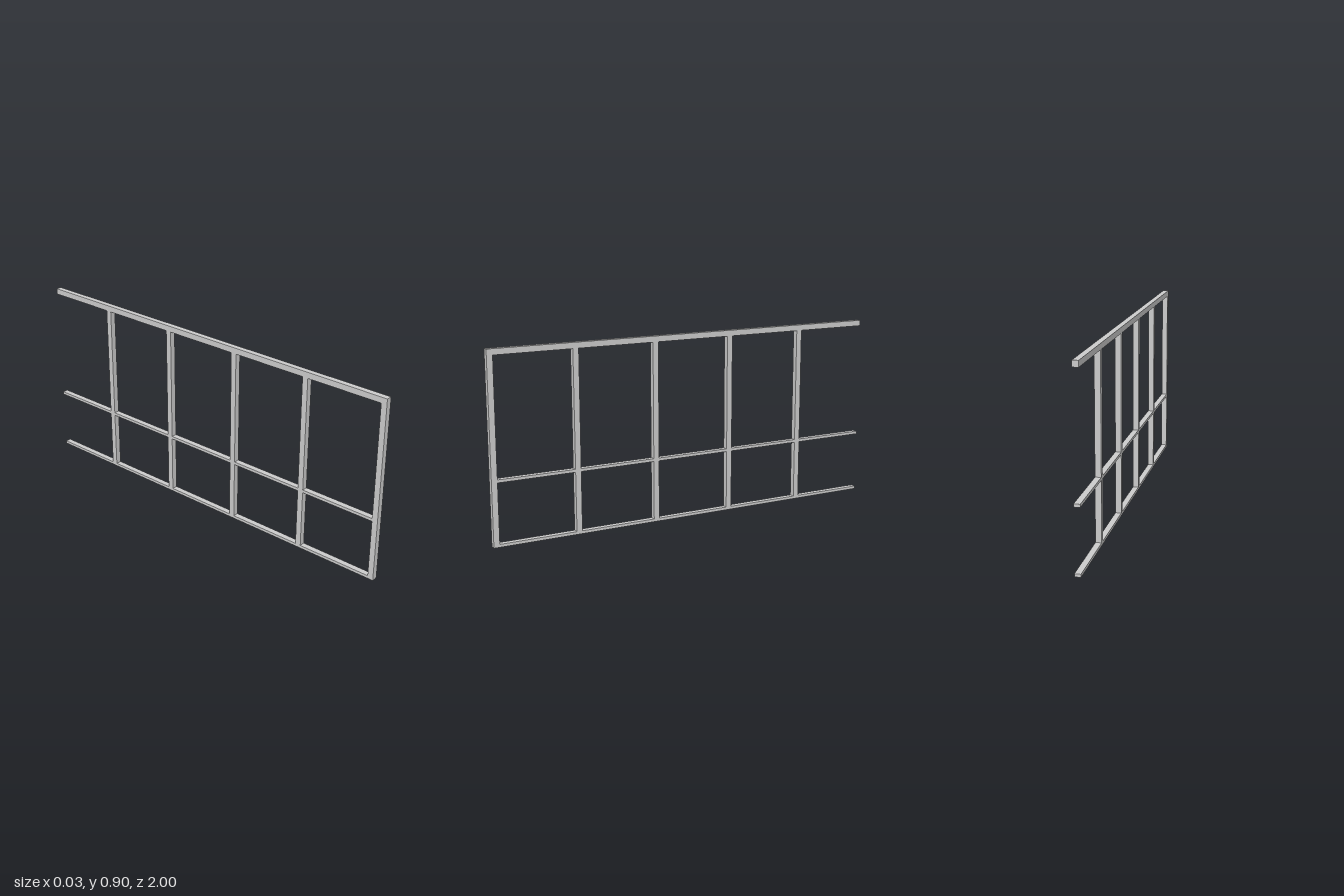
import * as THREE from 'three';

export function createModel() {
  const group = new THREE.Group();
  const material = new THREE.MeshStandardMaterial({ color: 0xcccccc, flatShading: true });
  const depth = 0.028;
  const height = 0.896;
  const topRailBase = 0.868;
  const bottomRailTop = 0.014;

  // Square-cut bar spanning the given y and z ranges
  function bar(name, y0, y1, z0, z1) {
    const mesh = new THREE.Mesh(new THREE.BoxGeometry(depth, y1 - y0, z1 - z0), material);
    mesh.name = name;
    mesh.position.set(0, (y0 + y1) / 2, (z0 + z1) / 2);
    group.add(mesh);
  }

  // Posts: one closing the front end, the rest evenly spaced, back end open
  const postWidth = 0.028;
  const spacing = 0.402;
  const postCount = 5;
  const posts = Array.from({ length: postCount }, (_, i) => 1 - i * spacing);
  posts.forEach((z, i) => {
    bar(i === 0 ? 'endPost' : 'post' + i, bottomRailTop, topRailBase, z - postWidth, z);
  });

  // Full-length rails
  bar('topRail', topRailBase, height, -1, 1);
  bar('bottomRail', 0, bottomRailTop, -1, 1);

  // Middle rail, cut into pieces between the posts
  posts.forEach((z, i) => {
    const back = i < postCount - 1 ? posts[i + 1] : -1;
    bar('middleRail' + (i + 1), 0.298, 0.312, back, z - postWidth);
  });

  return group;
}
